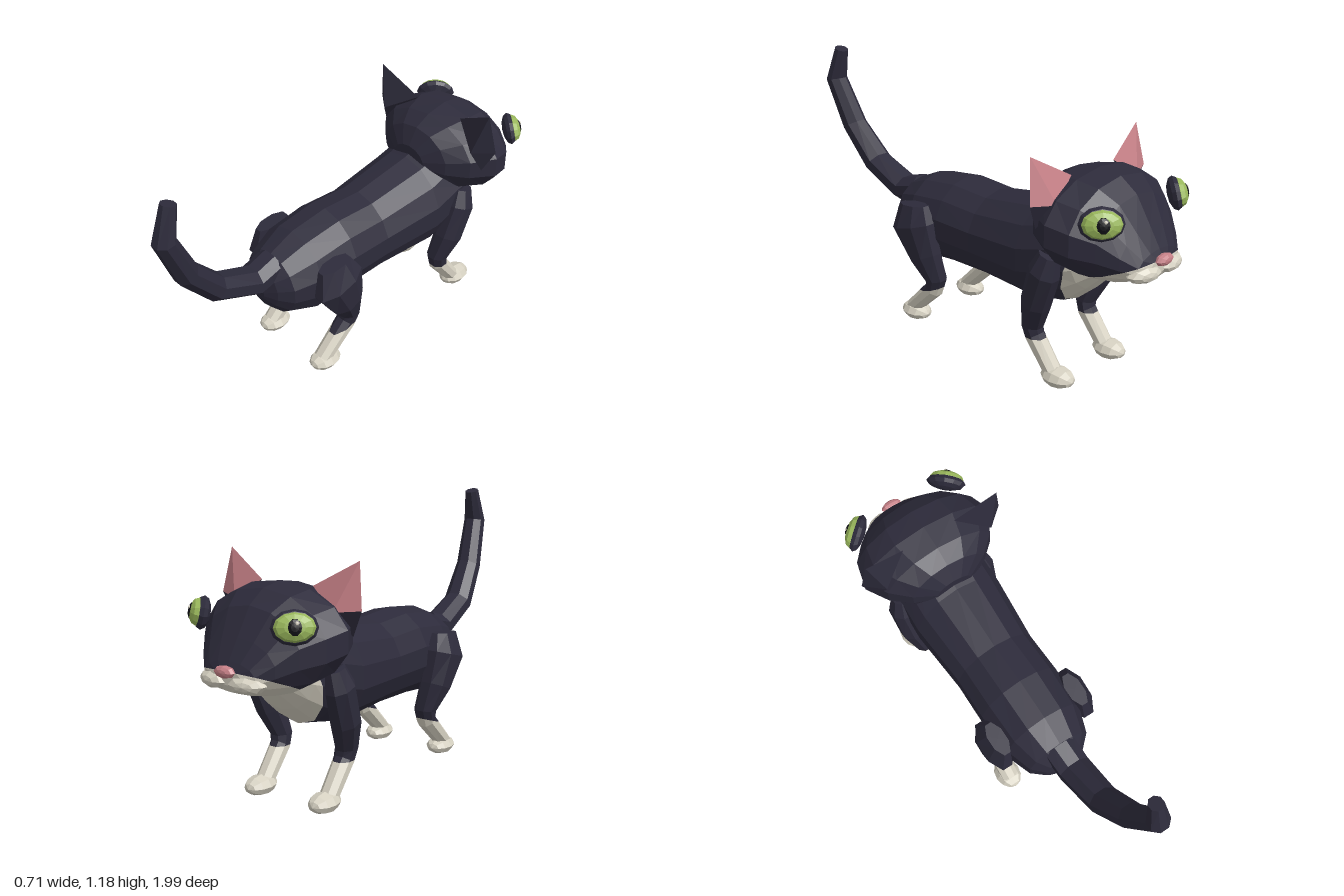
import * as THREE from 'three';

const material = (name, color) => {
  const m = new THREE.MeshStandardMaterial({ color });
  m.name = name;
  return m;
};

// Faceted geometry from a flat list of Vector3 triangle corners
function facets(points) {
  const g = new THREE.BufferGeometry().setFromPoints(points);
  g.computeVertexNormals();
  return g;
}

// Elliptical rings [x, y, z, rx, ry] joined along a path lying mostly in the yz plane.
// A fixed direction keeps all rings parallel, otherwise they follow the path.
function loft(sections, sides, direction) {
  const centres = sections.map(s => new THREE.Vector3(s[0], s[1], s[2]));
  const side = new THREE.Vector3(1, 0, 0);
  const rings = sections.map(([, , , rx, ry], i) => {
    const t = direction ? direction.clone() : centres[Math.min(i + 1, centres.length - 1)].clone().sub(centres[Math.max(i - 1, 0)]);
    t.x = 0;
    const v = t.normalize().cross(side);
    return Array.from({ length: sides }, (_, k) => {
      const a = (k + 0.5) / sides * Math.PI * 2;
      return centres[i].clone().addScaledVector(side, Math.cos(a) * rx).addScaledVector(v, Math.sin(a) * ry);
    });
  });
  const out = [], last = rings.length - 1;
  for (let k = 0; k < sides; k++) {
    const n = (k + 1) % sides;
    for (let i = 0; i < last; i++) {
      const a = rings[i], b = rings[i + 1];
      out.push(a[k], a[n], b[n], a[k], b[n], b[k]);
    }
    out.push(centres[0], rings[0][n], rings[0][k], centres[last], rings[last][k], rings[last][n]);
  }
  return out;
}

// Keeps the portion of the triangles where f(p) * sign >= 0
function clip(points, f, sign) {
  const out = [];
  for (let i = 0; i < points.length; i += 3) {
    const poly = [];
    for (let k = 0; k < 3; k++) {
      const a = points[i + k], b = points[i + (k + 1) % 3];
      const fa = f(a) * sign, fb = f(b) * sign;
      if (fa >= 0) poly.push(a);
      if (fa * fb < 0) poly.push(a.clone().lerp(b, fa / (fa - fb)));
    }
    for (let k = 1; k < poly.length - 1; k++) out.push(poly[0], poly[k], poly[k + 1]);
  }
  return out;
}

export function createModel() {
  const fur = material('dark fur', 0x2d2b3b);
  const white = material('white fur', 0xd6d1c2);
  const pink = material('pink skin', 0xc57f86);
  const green = material('green iris', 0x9ab85c);
  const black = material('black pupil', 0x111116);

  const cat = new THREE.Group();
  cat.name = 'cat';
  const add = (parent, name, geometry, mat) => {
    const m = new THREE.Mesh(geometry, mat);
    m.name = name;
    parent.add(m);
    return m;
  };
  const twoTone = (parent, name, whiteName, points, f) => {
    add(parent, name, facets(clip(points, f, -1)), fur);
    add(parent, whiteName, facets(clip(points, f, 1)), white);
  };
  const blob = (parent, name, mat, [x, y, z], [sx, sy, sz], w = 10, h = 6) => {
    const g = new THREE.SphereGeometry(1, w, h).rotateX(Math.PI / 2).scale(sx, sy, sz).toNonIndexed();
    g.computeVertexNormals();
    const m = add(parent, name, g, mat);
    m.position.set(x, y, z);
    return m;
  };
  // Rows of [z, top, bottom, half width]
  const forward = new THREE.Vector3(0, 0, -1);
  const trunk = (rows, sides) =>
    loft(rows.map(([z, top, bottom, rx]) => [0, (top + bottom) / 2, z, rx, (top - bottom) / 2]), sides, forward);

  // Body with a white bib
  twoTone(cat, 'body', 'bib', trunk([
    [0.485, 0.50, 0.43, 0.035], [0.46, 0.58, 0.38, 0.10], [0.41, 0.63, 0.33, 0.155],
    [0.29, 0.685, 0.285, 0.197], [0.10, 0.71, 0.305, 0.205], [-0.10, 0.70, 0.31, 0.20],
    [-0.40, 0.75, 0.30, 0.225], [-0.56, 0.80, 0.335, 0.22], [-0.66, 0.75, 0.42, 0.18],
    [-0.74, 0.68, 0.505, 0.12],
  ], 14), p => -p.z - 0.56 - (p.y - 0.34) * 0.35);

  // Head with a white chin
  twoTone(cat, 'head', 'chin', trunk([
    [-0.42, 0.80, 0.67, 0.09], [-0.465, 0.88, 0.60, 0.19], [-0.54, 0.92, 0.56, 0.275],
    [-0.65, 0.94, 0.535, 0.337], [-0.75, 0.925, 0.51, 0.31], [-0.83, 0.87, 0.515, 0.245],
    [-0.90, 0.76, 0.54, 0.185], [-0.95, 0.68, 0.56, 0.13], [-0.967, 0.65, 0.59, 0.07],
  ], 14), p => 0.53 + (-p.z - 0.70) * 0.42 - p.y);

  blob(cat, 'nose', pink, [0, 0.643, -0.975], [0.05, 0.025, 0.025], 8, 6);

  // Tail
  add(cat, 'tail', facets(loft([
    [0, 0.58, 0.40, 0.08, 0.06], [0.005, 0.55, 0.52, 0.078, 0.062], [0.012, 0.635, 0.715, 0.07, 0.06],
    [0.035, 0.80, 0.855, 0.06, 0.055], [0.06, 1.02, 0.95, 0.052, 0.048], [0.055, 1.17, 0.908, 0.032, 0.034],
  ], 8)), fur);

  for (const s of [1, -1]) {
    const label = s > 0 ? 'left' : 'right';
    const group = (name) => {
      const g = new THREE.Group();
      g.name = label + name;
      return g;
    };

    // Front leg and paw
    const front = group('FrontLeg');
    cat.add(front);
    twoTone(front, 'frontLeg', 'frontSock', loft([
      [s * 0.205, 0.60, -0.575, 0.04, 0.05], [s * 0.215, 0.52, -0.555, 0.06, 0.072],
      [s * 0.20, 0.36, -0.50, 0.066, 0.066], [s * 0.175, 0.24, -0.462, 0.05, 0.048],
      [s * 0.17, 0.19, -0.475, 0.045, 0.042], [s * 0.17, 0.05, -0.585, 0.042, 0.036],
    ], 8), p => 0.19 - p.y);
    blob(front, 'frontPaw', white, [s * 0.17, 0.046, -0.605], [0.06, 0.043, 0.08], 8, 6);

    // Hind leg and paw
    const hind = group('HindLeg');
    cat.add(hind);
    twoTone(hind, 'hindLeg', 'hindSock', loft([
      [s * 0.205, 0.595, 0.235, 0.04, 0.085], [s * 0.22, 0.50, 0.225, 0.065, 0.128],
      [s * 0.205, 0.36, 0.165, 0.065, 0.09], [s * 0.18, 0.25, 0.122, 0.05, 0.05],
      [s * 0.175, 0.20, 0.14, 0.046, 0.042], [s * 0.175, 0.06, 0.285, 0.042, 0.036],
    ], 8), p => 0.25 - 0.36 * p.z - p.y);
    blob(hind, 'hindPaw', white, [s * 0.175, 0.046, 0.267], [0.06, 0.04, 0.078], 8, 6);

    // Ear: pink inside, dark ridge behind
    const V = (x, y, z) => new THREE.Vector3(s * x, y, z);
    const tip = V(0.325, 1.035, -0.57), outer = V(0.355, 0.85, -0.60), inner = V(0.13, 0.925, -0.61);
    const bowl = V(0.25, 0.84, -0.645), ridge = V(0.27, 0.84, -0.53), root = V(0.30, 0.74, -0.58);
    const centre = V(0.27, 0.87, -0.59);
    const outward = tris => tris.flatMap(([a, b, c]) => {
      const n = b.clone().sub(a).cross(c.clone().sub(a));
      return n.dot(a.clone().sub(centre)) > 0 ? [a, b, c] : [a, c, b];
    });
    const ear = group('Ear');
    cat.add(ear);
    add(ear, 'innerEar', facets(outward([[tip, outer, bowl], [tip, bowl, inner]])), pink);
    add(ear, 'outerEar', facets(outward([
      [tip, outer, ridge], [tip, ridge, inner], [outer, root, bowl],
      [outer, ridge, root], [root, ridge, inner], [root, bowl, inner],
    ])), fur);

    // Eye: rim, iris, pupil and glint
    const eye = group('Eye');
    eye.position.set(s * 0.24, 0.82, -0.855);
    eye.lookAt(s * (0.24 + 0.66), 0.82 + 0.22, -0.855 - 0.72);
    blob(eye, 'eyeRim', fur, [0, 0, -0.012], [0.09, 0.068, 0.032], 12, 6);
    blob(eye, 'iris', green, [0, 0, 0.006], [0.079, 0.056, 0.034], 12, 6);
    blob(eye, 'pupil', black, [0, 0, 0.03], [0.03, 0.034, 0.014], 10, 6);
    blob(eye, 'glint', white, [0.008, 0.014, 0.041], [0.008, 0.008, 0.005], 6, 4);
    cat.add(eye);

    // Muzzle puff
    blob(cat, label + 'Muzzle', white, [s * 0.082, 0.598, -0.942], [0.08, 0.036, 0.045], 8, 6).rotation.y = s * -0.25;
  }
  return cat;
}
